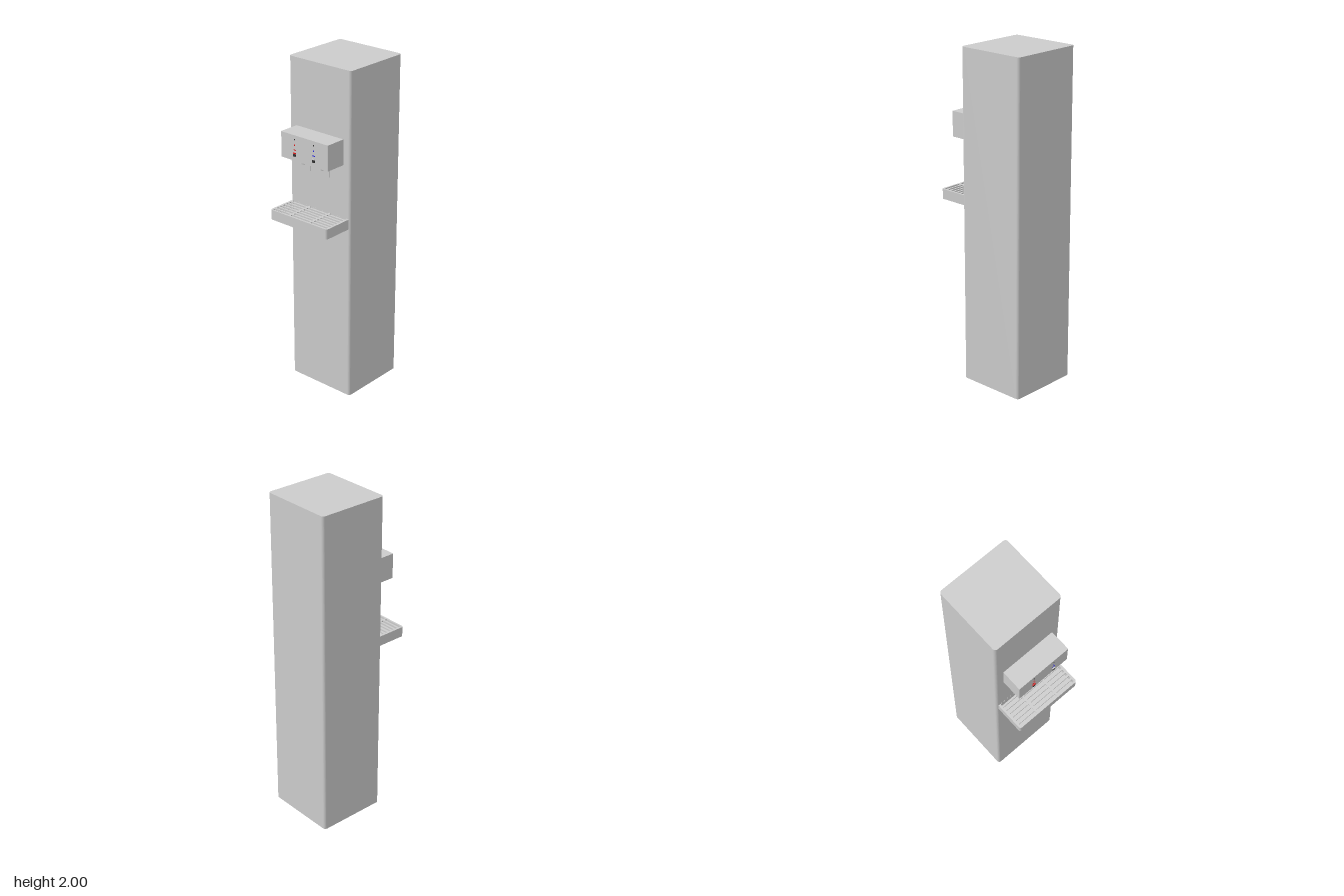
import * as THREE from 'three';

const material = (color) => new THREE.MeshStandardMaterial({ color });
const grey = material(0xcccccc);
const red = material(0xdd1111);
const blue = material(0x2222dd);
const dark = material(0x333333);

function add(group, name, geometry, x = 0, y = 0, z = 0, mat = grey) {
  const mesh = new THREE.Mesh(geometry, mat);
  mesh.name = name;
  mesh.position.set(x, y, z);
  group.add(mesh);
  return mesh;
}

const box = (w, h, d) => new THREE.BoxGeometry(w, h, d);

// Plan outline in x and z, with separate radii for back and front corners
function plan(x, zBack, zFront, rBack, rFront, PathType = THREE.Shape) {
  const p = new PathType();
  const corner = (cx, cy, r, start) => {
    if (r > 0) p.absarc(cx, cy, r, start, start + Math.PI / 2, false);
    else p.lineTo(cx, cy);
  };
  p.moveTo(x, -zFront + rFront);
  corner(x - rBack, -zBack - rBack, rBack, 0);
  corner(-x + rBack, -zBack - rBack, rBack, Math.PI / 2);
  corner(-x + rFront, -zFront + rFront, rFront, Math.PI);
  corner(x - rFront, -zFront + rFront, rFront, Math.PI * 1.5);
  return p;
}

// Raise a plan outline upwards from y = 0
function raise(shape, height) {
  return new THREE.ExtrudeGeometry(shape, { depth: height, bevelEnabled: false, curveSegments: 8 })
    .rotateX(-Math.PI / 2);
}

function rectHole(x0, x1, z0, z1) {
  return new THREE.Path([
    new THREE.Vector2(x0, -z0), new THREE.Vector2(x1, -z0),
    new THREE.Vector2(x1, -z1), new THREE.Vector2(x0, -z1),
  ]);
}

// Drip tray: floor, rim wall and slotted grate
function createTray() {
  const tray = new THREE.Group();
  tray.name = 'dripTray';
  const outline = () => plan(0.213, 0.122, 0.306, 0, 0.014);
  add(tray, 'trayFloor', raise(outline(), 0.008), 0, 1.08, 0);

  const rim = outline();
  rim.holes.push(rectHole(-0.202, 0.202, 0.123, 0.297));
  add(tray, 'trayRim', raise(rim, 0.044), 0, 1.088, 0);

  const grate = outline();
  for (let row = 0; row < 7; row++) {
    const z = 0.1225 + row * 0.0263;
    for (const [x0, x1] of [[-0.2, -0.082], [-0.069, 0.069], [0.082, 0.2]]) {
      grate.holes.push(rectHole(x0, x1, z, z + 0.0145));
    }
  }
  add(tray, 'trayGrate', raise(grate, 0.008), 0, 1.132, 0);
  return tray;
}

// One tap: spout, paddle lever and front indicators
function createTap(name, x, color) {
  const tap = new THREE.Group();
  tap.name = name;
  tap.position.x = x;
  add(tap, 'spout', new THREE.CylinderGeometry(0.0165, 0.0165, 0.036, 24), 0, 1.438, 0.185);
  for (const side of [-1, 1]) {
    add(tap, 'leverArm', box(0.008, 0.045, 0.005), side * 0.022, 1.435, 0.147);
  }
  add(tap, 'leverPaddle', box(0.06, 0.042, 0.006), 0, 1.394, 0.153);

  const disc = (r, d) => new THREE.CylinderGeometry(r, r, d, 16).rotateX(Math.PI / 2);
  add(tap, 'statusLight', disc(0.004, 0.002), 0, 1.58, 0.2505, dark);
  add(tap, 'temperatureLight', disc(0.004, 0.002), 0, 1.547, 0.2505, color);
  add(tap, 'indicatorBar', box(0.02, 0.005, 0.002), 0, 1.519, 0.2505, color);
  add(tap, 'button', box(0.016, 0.012, 0.007), 0, 1.488, 0.2535, dark);
  add(tap, 'buttonCap', box(0.02, 0.004, 0.006), 0, 1.5, 0.253, color === red ? red : grey);
  return tap;
}

export function createModel() {
  const model = new THREE.Group();
  model.name = 'waterDispenser';

  // Tall cabinet with rounded upright edges
  add(model, 'cabinet', raise(plan(0.225, -0.308, 0.122, 0.018, 0.018), 2));

  // Dispensing head
  add(model, 'dispenserHead', raise(plan(0.173, 0.122, 0.25, 0, 0.003), 0.15), 0, 1.455, 0);

  model.add(createTap('hotTap', -0.07, red));
  model.add(createTap('coldTap', 0.07, blue));
  model.add(createTray());
  return model;
}
